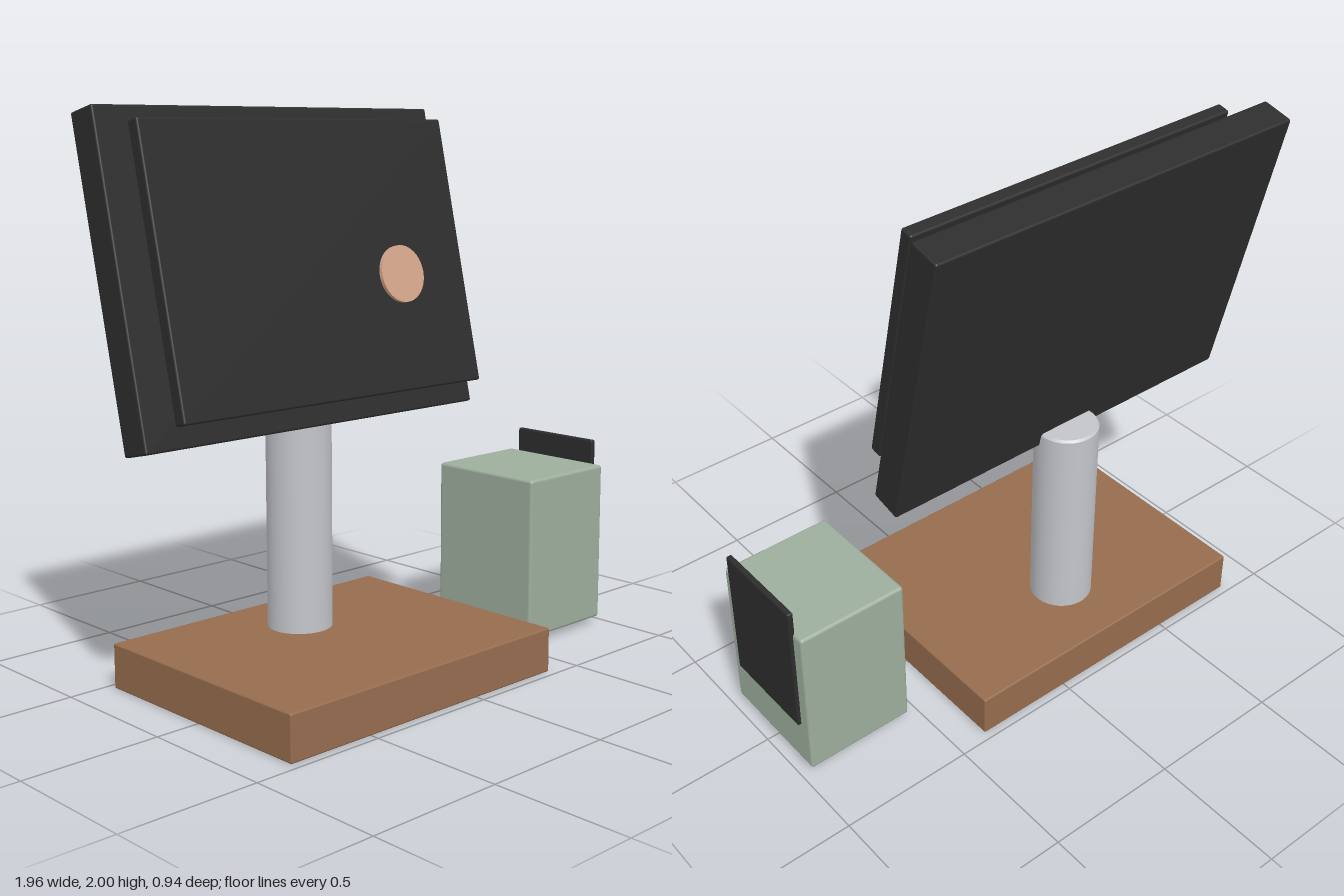
import * as THREE from 'three';
import { RoundedBoxGeometry } from 'three/addons/geometries/RoundedBoxGeometry.js';

const material = (name, color) => {
  const m = new THREE.MeshStandardMaterial({ color });
  m.name = name;
  return m;
};

export function createModel() {
  const wood = material('wood', 0x966c4e);
  const metal = material('silver metal', 0xc4c5ca);
  const black = material('matte black', 0x2d2d2d);
  const green = material('sage green', 0x9dae9d);
  const copper = material('copper', 0xd4a68a);

  const model = new THREE.Group();
  model.name = 'deskDisplay';
  const TILT = -0.226; // display leans back at the top
  const CX = -0.23; // centre line of the display and its stand

  const add = (name, geometry, mat, x, y, z, tilt = 0) => {
    const mesh = new THREE.Mesh(geometry, mat);
    mesh.name = name;
    mesh.position.set(x, y, z);
    mesh.rotation.x = tilt;
    model.add(mesh);
    return mesh;
  };
  const box = (w, h, d, r) => new RoundedBoxGeometry(w, h, d, 2, r);

  // Wooden foot
  add('base', box(1.22, 0.162, 0.94, 0.006), wood, CX, 0.081, 0);

  // Round column with a softened top rim
  const R = 0.117, H = 0.78, B = 0.008;
  const profile = [[0, 0], [R, 0], [R, 0], [R, H - B], [R, H - B], [R - B, H], [R - B, H], [0, H]]
    .map(([x, y]) => new THREE.Vector2(x, y));
  add('column', new THREE.LatheGeometry(profile, 48), metal, CX, 0.16, -0.185);

  // Tilted display housing, front panel and floating round badge
  add('displayHousing', box(1.5, 1.12, 0.122, 0.008), black, CX, 1.44, -0.236, TILT);
  add('displayPanel', box(1.36, 0.975, 0.05, 0.008), black, CX, 1.478, -0.075, TILT);
  const disc = new THREE.CylinderGeometry(0.093, 0.093, 0.013, 40).rotateX(Math.PI / 2);
  add('disc', disc, copper, CX, 1.458, 0.331, TILT);

  // Side cabinet with a thin panel on its outer face
  add('cabinet', box(0.42, 0.61, 0.47, 0.012), green, 0.755, 0.33, 0);
  add('cabinetPanel', box(0.022, 0.516, 0.376, 0.006), black, 0.967, 0.468, 0);

  return model;
}
